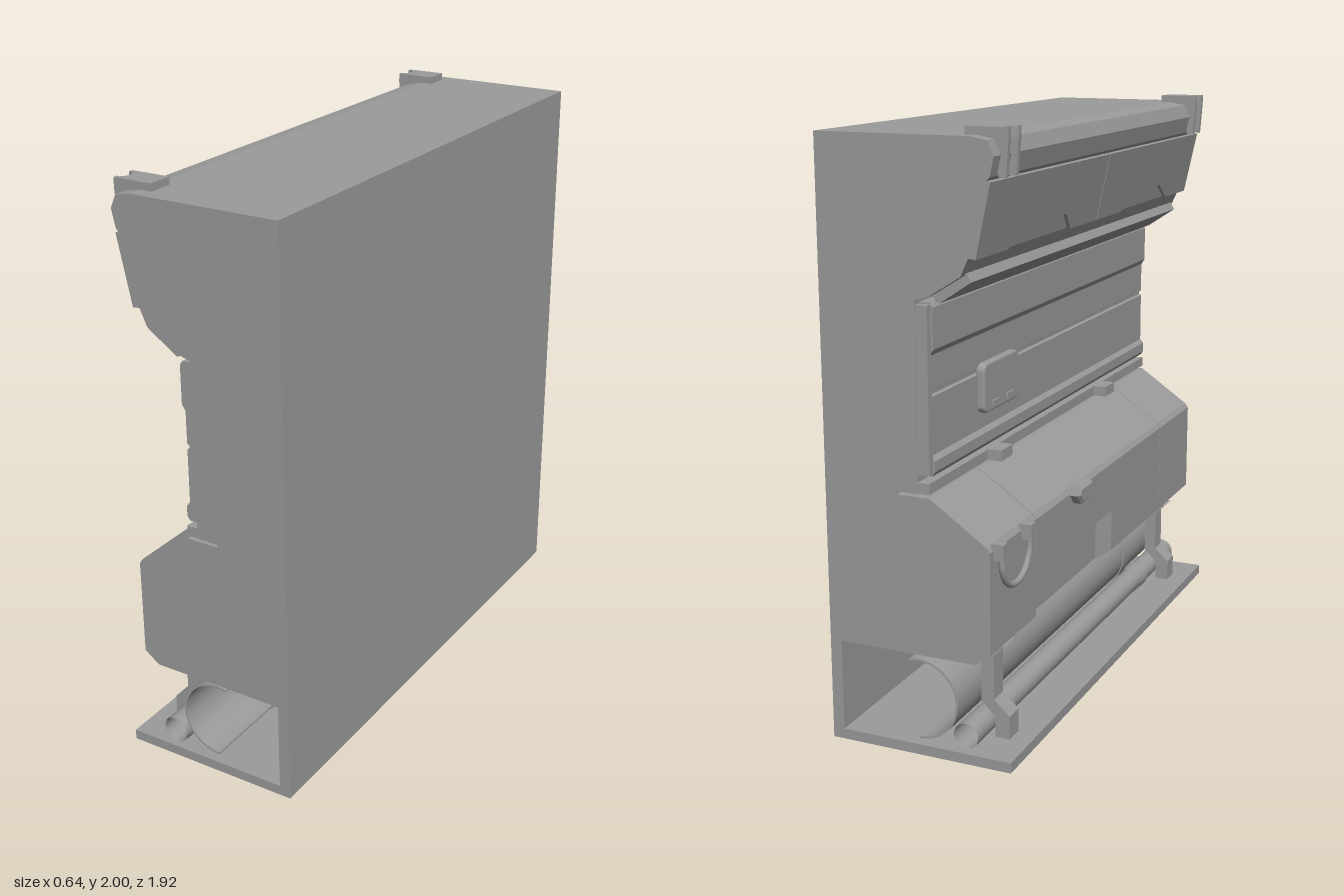
import * as THREE from 'three';

const mat = new THREE.MeshStandardMaterial({ color: 0x9b9b9b });
const thin = new THREE.MeshStandardMaterial({ color: 0x9b9b9b, side: THREE.DoubleSide });
const HALF = 0.96;

export function createModel() {
  const root = new THREE.Group();

  const add = (name, geo, material = mat) => {
    const m = new THREE.Mesh(geo, material);
    m.name = name;
    root.add(m);
  };
  const shapeOf = pts => new THREE.Shape(pts.map(p => new THREE.Vector2(p[0], p[1])));
  // cross-section in x,y swept from z0 to z1
  const sweep = (name, pts, z0, z1) => {
    const geo = new THREE.ExtrudeGeometry(shapeOf(pts), { depth: z1 - z0, bevelEnabled: false });
    geo.translate(0, 0, z0);
    add(name, geo);
  };
  const box = (name, x0, x1, y0, y1, z0, z1) => {
    const geo = new THREE.BoxGeometry(x1 - x0, y1 - y0, z1 - z0);
    geo.translate((x0 + x1) / 2, (y0 + y1) / 2, (z0 + z1) / 2);
    add(name, geo);
  };

  // wall body with the open service tunnel at its foot and a slit under the ledge
  sweep('wallBody', [
    [0.32, 0], [-0.32, 0], [-0.32, 0.035], [0.28, 0.035], [0.28, 0.345], [-0.19, 0.345],
    [-0.19, 0.76], [-0.05, 0.857], [-0.04, 0.868], [0.065, 0.868], [0.065, 0.878], [-0.01, 0.878],
    [-0.01, 1.485], [-0.06, 1.5], [-0.165, 1.565],
    [-0.19, 1.62], [-0.203, 1.62], [-0.253, 1.85], [-0.262, 1.86], [-0.276, 1.92],
    [-0.256, 1.965], [-0.2, 1.975], [0.32, 1.975],
  ], -HALF, HALF);

  // hood covers over the lower body, with narrow seams between them
  const hoodCover = (name, bottom, z0, z1) => sweep(name, [
    [-0.185, 0.755], [-0.05, 0.85], [-0.04, 0.868], [-0.05, 0.868], [-0.24, 0.738], [-0.253, 0.72], ...bottom,
  ], z0, z1);
  const full = [[-0.253, 0.385], [-0.2, 0.345], [-0.185, 0.345]];
  const short = [[-0.253, 0.54], [-0.185, 0.54]];
  hoodCover('hoodEnd', full, -HALF, -0.612);
  hoodCover('hoodShortCover', short, -0.608, 0.08);
  hoodCover('hoodFullCover', full, 0.08, 0.608);
  hoodCover('hoodEnd', full, 0.612, HALF);

  // sloped upper doors with a finger notch in the lower edge, one each side of the seam
  const up = new THREE.Vector3(-0.05, 0.23, 0).normalize();
  const along = new THREE.Vector3(0, 0, 1);
  const out = along.clone().cross(up);
  const place = new THREE.Matrix4().makeBasis(along, up, out).setPosition(-0.203, 1.62, 0);
  for (const s of [-1, 1]) {
    const door = shapeOf([
      [0.003, 0], [0.24, 0], [0.3, 0.06], [0.62, 0.06], [0.73, 0], [HALF, 0], [HALF, 0.234], [0.003, 0.234],
    ].map(([u, v]) => [s * u, v]));
    const geo = new THREE.ExtrudeGeometry(door, { depth: 0.012, bevelEnabled: false });
    add('upperDoor', geo.applyMatrix4(place));
  }

  // tilted rail under the overhang
  sweep('overhangRail', [
    [-0.185, 1.545], [-0.17, 1.572], [-0.06, 1.5], [-0.065, 1.48], [-0.08, 1.475],
  ], -0.93, 0.93);

  // back panel: ribbed strips with rounded shoulders
  sweep('backPanel', [
    [-0.005, 0.93], [-0.045, 0.93], [-0.055, 0.945], [-0.055, 0.98], [-0.042, 0.995],
    [-0.042, 1.18], [-0.034, 1.185], [-0.034, 1.195], [-0.042, 1.2], [-0.042, 1.31],
    [-0.055, 1.33], [-0.055, 1.46], [-0.045, 1.475], [-0.005, 1.475],
  ], -0.93, 0.95);
  box('panelEndStrip', -0.05, -0.005, 0.94, 1.47, -0.957, -0.933);

  // ledge rail with two tabs
  box('ledgeRail', -0.05, 0, 0.88, 0.915, -HALF, HALF);
  for (const z of [-0.5, 0.45]) box('ledgeTab', -0.1, -0.04, 0.88, 0.917, z - 0.045, z + 0.045);

  // switch plate with rounded corners
  const [a0, a1, b0, b1, r] = [-0.6, -0.33, 1.05, 1.215, 0.025];
  const plate = new THREE.Shape();
  plate.absarc(a1 - r, b1 - r, r, 0, Math.PI / 2);
  plate.absarc(a0 + r, b1 - r, r, Math.PI / 2, Math.PI);
  plate.absarc(a0 + r, b0 + r, r, Math.PI, Math.PI * 1.5);
  plate.absarc(a1 - r, b0 + r, r, Math.PI * 1.5, Math.PI * 2);
  const plateGeo = new THREE.ExtrudeGeometry(plate, {
    depth: 0.022, bevelThickness: 0.006, bevelSize: 0.006, bevelOffset: -0.006, bevelSegments: 2,
  });
  plateGeo.rotateY(-Math.PI / 2).translate(-0.04, 0, 0);
  add('switchPlate', plateGeo);
  for (const z of [-0.52, -0.41]) box('plateButton', -0.074, -0.06, 1.07, 1.085, z - 0.025, z + 0.025);

  // faceted knob on the hood
  const knob = shapeOf([
    [-0.32, 0.715], [-0.29, 0.68], [-0.22, 0.68], [-0.19, 0.715], [-0.2, 0.745], [-0.31, 0.745],
  ]);
  const knobGeo = new THREE.ExtrudeGeometry(knob, {
    depth: 0.045, bevelThickness: 0.01, bevelSize: 0.01, bevelOffset: -0.01, bevelSegments: 1,
  });
  knobGeo.rotateY(-Math.PI / 2).translate(-0.235, 0, 0);
  add('hoodKnob', knobGeo);

  // hanging U handle
  const loop = new THREE.CatmullRomCurve3([
    [0.71, -0.92], [0.65, -0.915], [0.6, -0.88], [0.58, -0.815], [0.6, -0.75], [0.65, -0.715], [0.71, -0.71],
  ].map(([y, z]) => new THREE.Vector3(-0.275, y, z)));
  add('handleLoop', new THREE.TubeGeometry(loop, 32, 0.011, 8));
  for (const z of [-0.92, -0.71]) {
    box('handleMount', -0.288, -0.245, 0.69, 0.742, z - 0.015, z + 0.015);
  }

  // top corner clamps: cap plate with a round notch, and two prongs
  for (const z of [-0.866, 0.866]) {
    const cap = shapeOf([[-0.3, -0.045], [-0.16, -0.045], [-0.16, 0.045], [-0.3, 0.045]]);
    cap.lineTo(-0.3, 0.028);
    cap.absarc(-0.3, 0, 0.028, Math.PI / 2, -Math.PI / 2, true);
    const capGeo = new THREE.ExtrudeGeometry(cap, { depth: 0.032, bevelEnabled: false });
    capGeo.rotateX(-Math.PI / 2).translate(0, 1.968, z);
    add('clampCap', capGeo);
    for (const d of [-0.0365, 0.0365]) {
      sweep('clampProng', [
        [-0.3, 1.97], [-0.24, 1.97], [-0.265, 1.93], [-0.255, 1.9], [-0.268, 1.855], [-0.292, 1.855],
      ], z + d - 0.0085, z + d + 0.0085);
    }
  }

  // cranked support brackets
  for (const z of [-0.78, 0.78]) {
    sweep('bracket', [
      [-0.25, 0.03], [-0.25, 0.115], [-0.195, 0.165], [-0.195, 0.315], [-0.235, 0.355], [-0.15, 0.355],
      [-0.15, 0.155], [-0.2, 0.105], [-0.2, 0.03],
    ], z - 0.035, z + 0.035);
  }

  // open shell pipe, arc measured from +x
  const shell = (name, rad, wall, z0, z1) => {
    const [from, to] = [1.3, 4.72];
    const sh = new THREE.Shape();
    sh.absarc(0, 0, rad, from, to, false);
    sh.absarc(0, 0, rad - wall, to, from, true);
    const geo = new THREE.ExtrudeGeometry(sh, { depth: z1 - z0, bevelEnabled: false, curveSegments: 28 });
    geo.translate(0.015, 0.178, z0);
    add(name, geo, thin);
  };
  shell('largePipe', 0.137, 0.007, -0.93, 0.93);
  shell('pipeBand', 0.142, 0.01, 0.56, 0.62);

  // small pipe with collars
  const tube = (name, rad, z, len) => {
    const geo = new THREE.CylinderGeometry(rad, rad, len, 24, 1, true);
    geo.rotateX(Math.PI / 2).translate(-0.155, 0.086, z);
    add(name, geo, thin);
  };
  tube('smallPipe', 0.043, 0, 1.88);
  for (const z of [0.59, 0.9]) tube('smallPipeCollar', 0.048, z, 0.08);

  return root;
}
